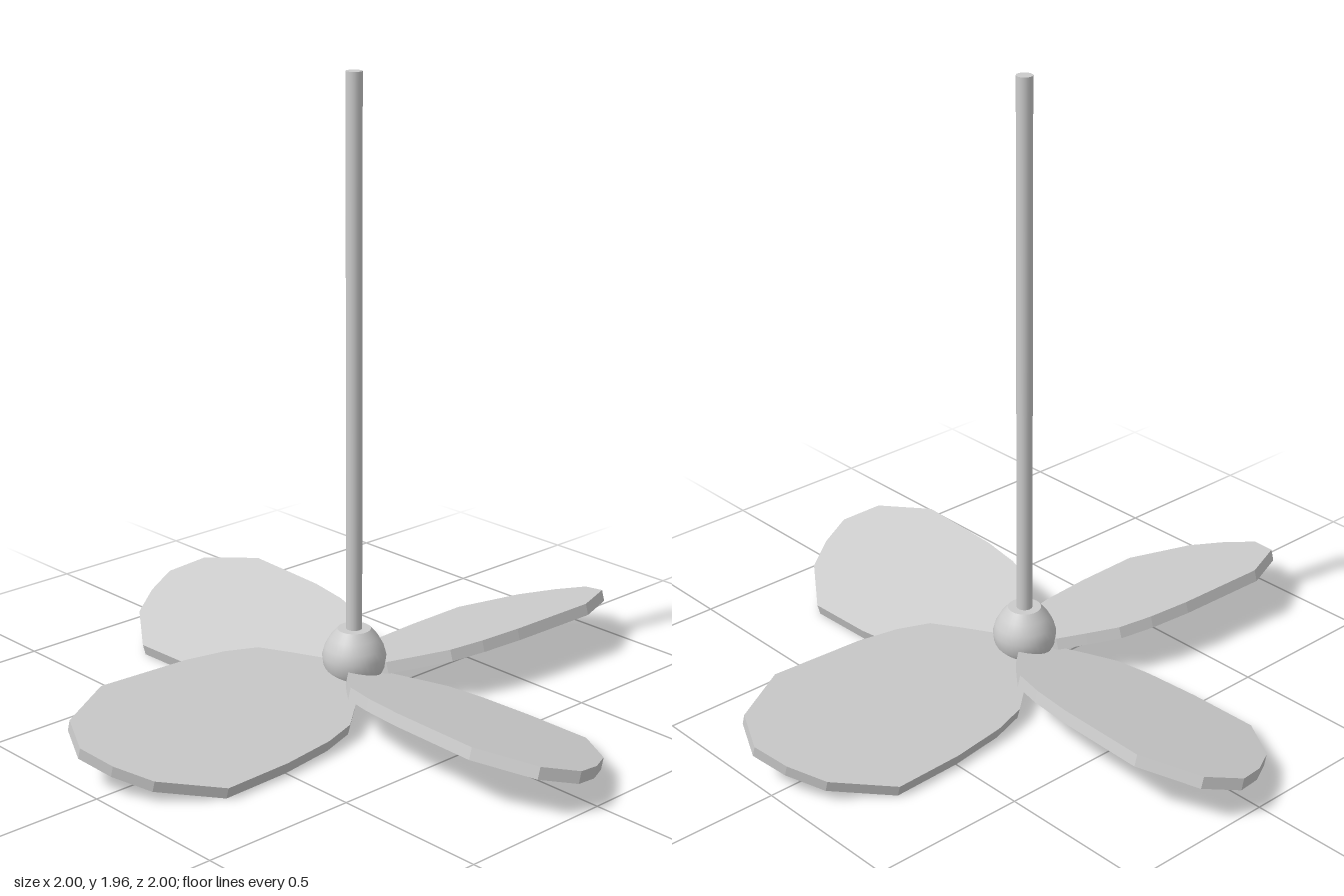
import * as THREE from 'three';
import { toCreasedNormals } from 'three/addons/utils/BufferGeometryUtils.js';

const PITCH = 0.283;      // blade tilt
const BLADE_Y = 0.096;    // height of blade mid-plane
const THICKNESS = 0.037;

// Blade outline in its own plane: x runs outwards, y across the blade
const OUTLINE = [
  [0.06, -0.085], [0.13, -0.145], [0.21, -0.21], [0.32, -0.24], [0.5, -0.26],
  [0.73, -0.265], [0.9, -0.14], [0.965, -0.03], [1.0, 0.08], [0.95, 0.2],
  [0.77, 0.29], [0.46, 0.277], [0.32, 0.257], [0.21, 0.225], [0.13, 0.155], [0.06, 0.09],
];

function createBladeGeometry() {
  const shape = new THREE.Shape(OUTLINE.map(([x, y]) => new THREE.Vector2(x, y)));
  const geometry = new THREE.ExtrudeGeometry(shape, { depth: THICKNESS, bevelEnabled: false });
  geometry.translate(0, 0, -THICKNESS / 2);
  geometry.rotateX(Math.PI / 2 - PITCH);
  return geometry;
}

export function createModel() {
  const model = new THREE.Group();
  model.name = 'ceilingFan';
  const material = new THREE.MeshStandardMaterial({ color: 0xcccccc });

  const add = (name, geometry, y = 0) => {
    const mesh = new THREE.Mesh(geometry, material);
    mesh.name = name;
    mesh.position.y = y;
    model.add(mesh);
    return mesh;
  };

  // Four pitched blades around the hub
  const bladeGeometry = createBladeGeometry();
  for (let i = 0; i < 4; i++) {
    add(`blade${i + 1}`, bladeGeometry, BLADE_Y).rotation.y = i * Math.PI / 2;
  }

  // Rounded motor hub with flat ends
  const profile = [
    [0, 0.07], [0.055, 0.07], [0.08, 0.09], [0.095, 0.12], [0.1, 0.158],
    [0.092, 0.187], [0.075, 0.218], [0.052, 0.245], [0, 0.245],
  ].map(([r, y]) => new THREE.Vector2(r, y));
  add('hub', toCreasedNormals(new THREE.LatheGeometry(profile, 32), 0.7));

  // Small cap beneath the hub
  add('bottomCap', toCreasedNormals(new THREE.CylinderGeometry(0.05, 0.05, 0.06, 8), 0.5), 0.06);

  // Hanging rod
  add('rod', new THREE.CylinderGeometry(0.025, 0.025, 1.735, 20), 1.1);

  return model;
}
